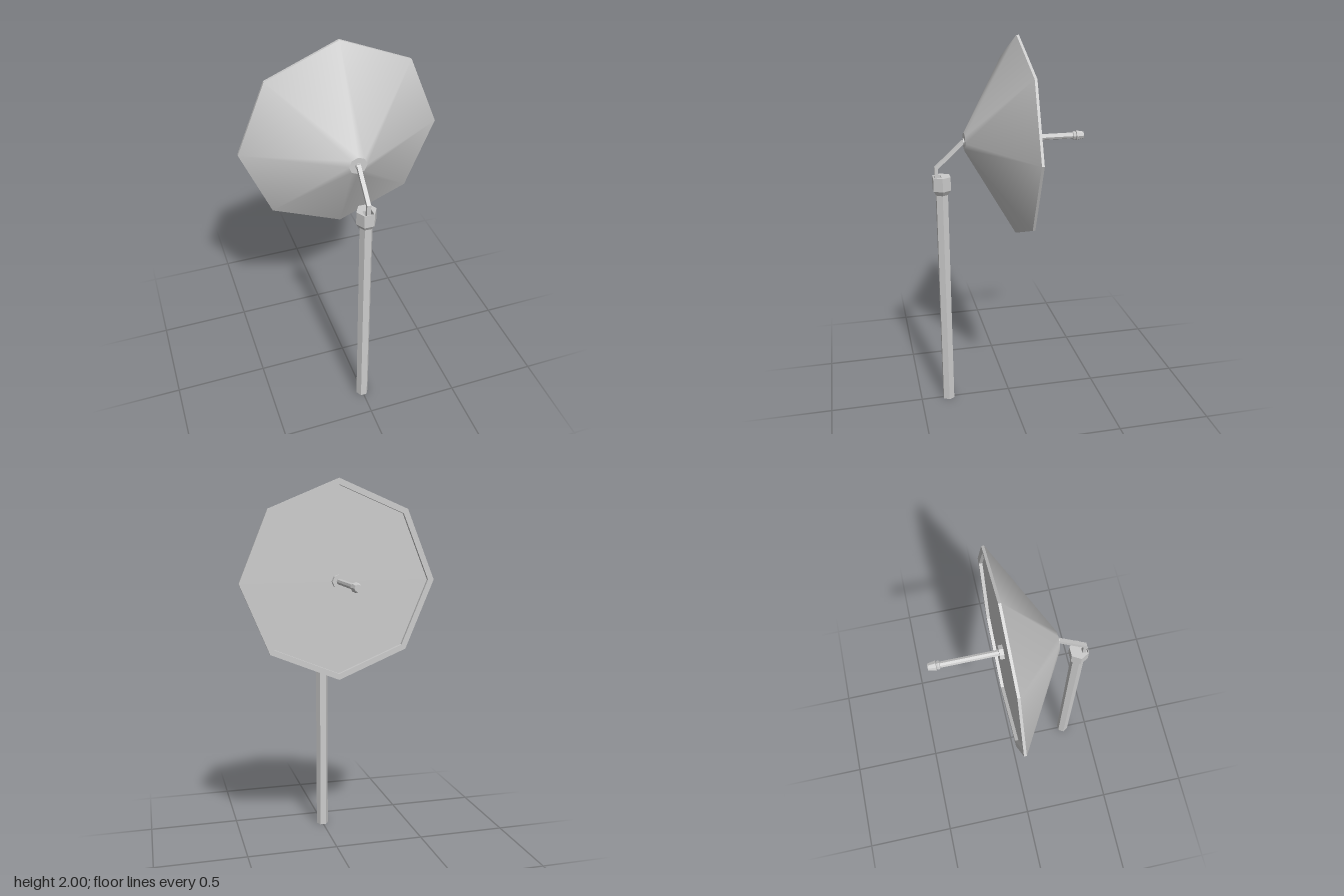
import * as THREE from 'three';

const smooth = new THREE.MeshStandardMaterial({ color: 0xcccccc });
const flat = new THREE.MeshStandardMaterial({ color: 0xcccccc, flatShading: true });
const AXIS_Y = 1.485; // height of the dish axis
const POST_Z = 0.348;

export function createModel() {
  const root = new THREE.Group();

  function add(parent, name, geometry, material, x = 0, y = 0, z = 0) {
    const mesh = new THREE.Mesh(geometry, material);
    mesh.name = name;
    mesh.position.set(x, y, z);
    parent.add(mesh);
    return mesh;
  }

  // Turned piece along z; profile is [radius, z], listed with rising z for outward faces
  function turned(parent, name, profile, sides, material) {
    const points = profile.map(([r, z]) => new THREE.Vector2(r, z));
    const geometry = new THREE.LatheGeometry(points, sides).rotateX(Math.PI / 2);
    return add(parent, name, geometry, material);
  }

  // Upright six-sided piece with corners towards left and right
  function hexColumn(name, top, bottom, y0, y1, open = false) {
    const geometry = new THREE.CylinderGeometry(top, bottom, y1 - y0, 6, 1, open, Math.PI / 6);
    return add(root, name, geometry, flat, 0, (y0 + y1) / 2, POST_Z);
  }

  // Octagonal dish: separate bands keep the rim edges sharp
  const dish = new THREE.Group();
  dish.name = 'dish';
  dish.position.y = AXIS_Y;
  root.add(dish);
  turned(dish, 'dishShell', [[0.515, -0.04], [0.046, 0.228]], 8, smooth);
  turned(dish, 'dishTip', [[0.046, 0.228], [0, 0.228]], 8, flat);
  turned(dish, 'rimEdge', [[0.515, -0.053], [0.515, -0.04]], 8, flat);
  turned(dish, 'rimFace', [[0.483, -0.053], [0.515, -0.053]], 8, flat);
  turned(dish, 'rimInside', [[0.483, -0.036], [0.483, -0.053]], 8, flat);
  turned(dish, 'dishFace', [[0, -0.036], [0.483, -0.036]], 8, flat);

  // Receiver rod with base flange and flared head
  turned(dish, 'rodFlange', [[0, -0.058], [0.037, -0.058], [0.037, -0.036]], 8, flat);
  turned(dish, 'rod', [[0.016, -0.345], [0.016, -0.05]], 8, flat);
  turned(dish, 'receiverHead', [
    [0, -0.397], [0.018, -0.397], [0.026, -0.358], [0.019, -0.356],
    [0.023, -0.347], [0.021, -0.342], [0.014, -0.337],
  ], 8, flat);

  // Mount plate behind the dish tip
  turned(dish, 'armPlate', [[0.016, 0.225], [0.016, 0.234], [0, 0.234]], 8, flat);

  // Bent arm from the collar to the dish, drawn as (z, y)
  const armShape = new THREE.Shape([
    [0.382, 1.27], [0.382, 1.36], [0.234, 1.495], [0.222, 1.482], [0.364, 1.352], [0.364, 1.27],
  ].map(([z, y]) => new THREE.Vector2(z, y)));
  const arm = new THREE.ExtrudeGeometry(armShape, { depth: 0.02, bevelEnabled: false });
  arm.translate(0, 0, -0.01).rotateY(-Math.PI / 2);
  add(root, 'arm', arm, flat);

  // Post and flared collar
  hexColumn('post', 0.034, 0.034, 0, 1.22);
  hexColumn('collarFlare', 0.051, 0.034, 1.215, 1.24);
  hexColumn('collarBase', 0.051, 0.051, 1.24, 1.285);

  // Collar top with a pocket for the arm
  const outline = new THREE.Shape();
  for (let i = 0; i < 6; i++) {
    const a = (i * Math.PI) / 3;
    outline[i ? 'lineTo' : 'moveTo'](0.051 * Math.cos(a), 0.051 * Math.sin(a));
  }
  outline.closePath();
  outline.holes.push(new THREE.Path([
    [-0.023, -0.041], [-0.023, -0.002], [0.023, -0.002], [0.023, -0.041],
  ].map(([x, y]) => new THREE.Vector2(x, y))));
  const collarTop = new THREE.ExtrudeGeometry(outline, { depth: 0.027, bevelEnabled: false });
  collarTop.rotateX(-Math.PI / 2);
  add(root, 'collarTop', collarTop, flat, 0, 1.284, POST_Z);

  return root;
}
